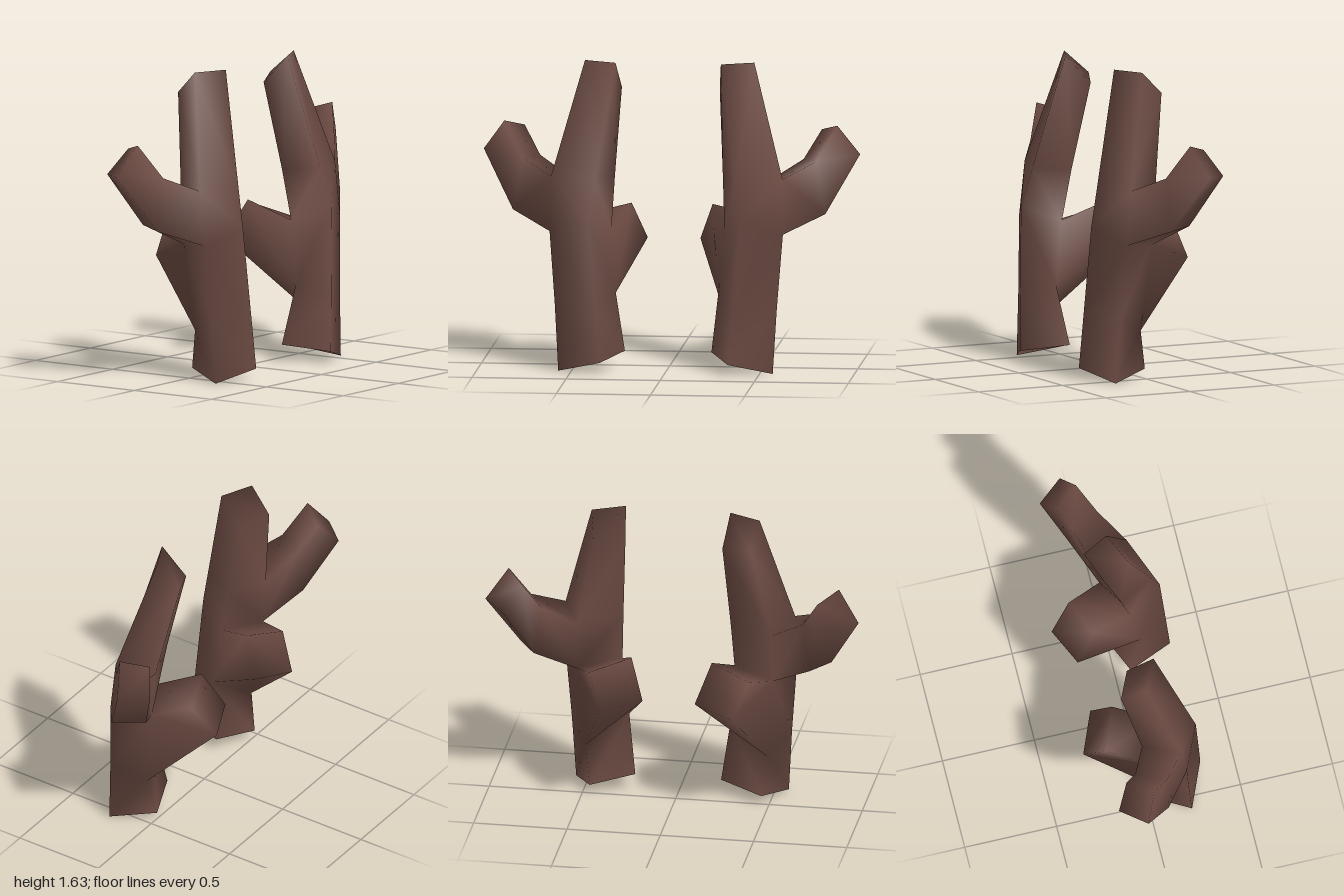
import * as THREE from 'three';

// Four-cornered rings of the left stump: front, outer, back and inner corner, bottom to top
const trunkRings = [
  [[0.34, 0.06, 0.32], [0.57, 0, 0.22], [0.46, 0.05, -0.01], [0.23, 0.09, 0.08]],
  [[0.365, 0.35, 0.305], [0.59, 0.35, 0.2], [0.49, 0.26, 0.03], [0.272, 0.41, 0.14]],
  [[0.405, 0.82, 0.28], [0.62, 0.74, 0.18], [0.525, 0.72, -0.02], [0.3, 0.75, 0.09]],
  [[0.373, 1.03, 0.228], [0.615, 1.03, 0.15], [0.52, 0.99, -0.04], [0.287, 1.02, 0.04]],
  [[0.28, 1.63, 0.08], [0.45, 1.63, 0], [0.42, 1.51, -0.13], [0.26, 1.48, -0.06]],
];
// Outer branch: elbow and tip
const outerRings = [
  [[0.83, 0.83, 0.03], [0.74, 0.84, -0.13], [0.7, 1.1, -0.12], [0.78, 1.11, 0.03]],
  [[1, 1.13, -0.12], [0.89, 1.12, -0.255], [0.79, 1.25, -0.19], [0.885, 1.29, -0.06]],
];
// Back branch: tip
const backRings = [
  [[0.355, 0.61, -0.32], [0.14, 0.65, -0.23], [0.215, 0.85, -0.13], [0.43, 0.785, -0.21]],
];

// One welded limb with an open foot; shading runs smoothly into branches and over the tips
function limbGeometry(side) {
  const points = [], index = [];
  const add = ([x, y, z]) => points.push(x * side, y, z) / 3 - 1;
  const quad = (a, b, c, d) =>
    side > 0 ? index.push(a, b, c, a, c, d) : index.push(a, c, b, a, d, c);
  const addRings = (rings) => rings.map((ring) => ring.map(add));

  // Walls between successive rings, leaving out faces where branches grow, then the tip
  function loft(rings, holes = []) {
    for (let r = 0; r < rings.length - 1; r++) {
      for (let k = 0; k < 4; k++) {
        if (holes.some(([hr, hk]) => hr === r && hk === k)) continue;
        const n = (k + 1) % 4;
        quad(rings[r][k], rings[r][n], rings[r + 1][n], rings[r + 1][k]);
      }
    }
    quad(...rings[rings.length - 1]);
  }

  const t = addRings(trunkRings);
  loft(t, [[2, 1], [1, 2]]);
  loft([[t[2][1], t[2][2], t[3][2], t[3][1]], ...addRings(outerRings)]);
  loft([[t[1][2], t[1][3], t[2][3], t[2][2]], ...addRings(backRings)]);

  const geometry = new THREE.BufferGeometry();
  geometry.setAttribute('position', new THREE.Float32BufferAttribute(points, 3));
  geometry.setIndex(index);
  geometry.computeVertexNormals();
  return geometry;
}

export function createModel() {
  const bark = new THREE.MeshStandardMaterial({ color: 0x6b4a42, side: THREE.DoubleSide });
  bark.name = 'brown bark';

  const model = new THREE.Group();
  model.name = 'branchPair';
  for (const [name, side] of [['leftBranch', 1], ['rightBranch', -1]]) {
    const limb = new THREE.Mesh(limbGeometry(side), bark);
    limb.name = name;
    model.add(limb);
  }
  return model;
}
